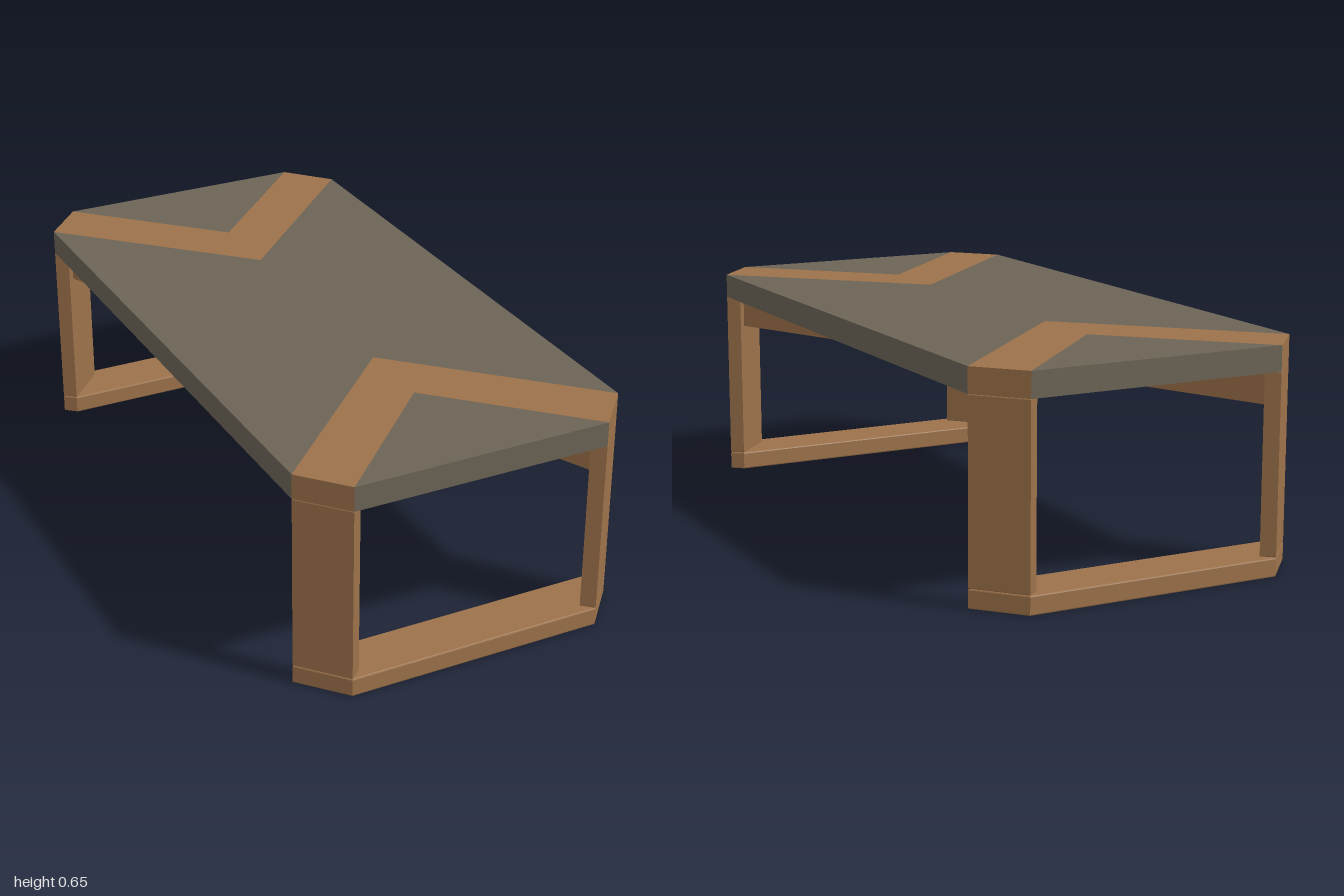
import * as THREE from 'three';

const wood = new THREE.MeshStandardMaterial({ color: 0x9c724a });
wood.name = 'warm wood';
const stone = new THREE.MeshStandardMaterial({ color: 0x6c6456 });
stone.name = 'grey brown top';

// Prism with a plan outline of [x, z] points, between two heights
function prism(name, points, y0, y1, material, bevel = 0) {
  const shape = new THREE.Shape(points.map(([x, z]) => new THREE.Vector2(x, z)));
  const geometry = new THREE.ExtrudeGeometry(shape, {
    depth: y1 - y0 - 2 * bevel,
    bevelEnabled: bevel > 0,
    bevelThickness: bevel,
    bevelSize: bevel,
    bevelOffset: -bevel,
    bevelSegments: 2,
  });
  geometry.rotateX(Math.PI / 2);
  geometry.translate(0, y1 - bevel, 0);
  const mesh = new THREE.Mesh(geometry, material);
  mesh.name = name;
  return mesh;
}

const flip = (points, sx, sz) => points.map(([x, z]) => [x * sx, z * sz]);
// Completes an outline that is symmetric about x = 0
const mirrorX = (half) => [...half, ...flip(half, -1, 1).reverse()];

export function createModel() {
  const table = new THREE.Group();
  table.name = 'table';
  const footTop = 0.055, slabBottom = 0.577, slabTop = 0.65;

  // Plan points of one cut corner: outer edge and inner leg face
  const endPoint = [0.385, 1], sidePoint = [0.5, 0.87];
  const innerEnd = [0.351, 0.97], innerSide = [0.466, 0.84];

  // Main panel, notched at both ends by the V inlays
  table.add(prism('mainPanel', [
    sidePoint, [0, 0.375], [-0.5, 0.87], [-0.5, -0.87], [0, -0.375], [0.5, -0.87],
  ], slabBottom, slabTop, stone));

  for (const s of [1, -1]) {
    const end = s > 0 ? 'front' : 'back';
    // Triangular end panel and the V inlay around it
    table.add(prism(end + 'Panel', flip([endPoint, [0, 0.615], [-0.385, 1]], 1, s),
      slabBottom, slabTop, stone));
    table.add(prism(end + 'Inlay', flip([
      endPoint, sidePoint, [0, 0.375], [-0.5, 0.87], [-0.385, 1], [0, 0.615],
    ], 1, s), slabBottom, slabTop, wood));

    // Foot rail with cut corners
    table.add(prism(end + 'FootRail', flip(mirrorX([endPoint, sidePoint, innerSide]), 1, s),
      0, footTop, wood, 0.004));

    // Plank legs across the cut corners
    for (const side of [1, -1]) {
      table.add(prism(end + (side > 0 ? 'Left' : 'Right') + 'Leg',
        flip([endPoint, sidePoint, innerSide, innerEnd], side, s),
        footTop, slabBottom, wood, 0.003));
    }
  }

  // Crossed braces joining opposite legs under the top
  const frontHalf = [[0.055, 0], [0.448, 0.869], [0.376, 0.951], [0, 0.12],
    [-0.376, 0.951], [-0.448, 0.869], [-0.055, 0]];
  const backHalf = flip(frontHalf.slice(1, -1), 1, -1).reverse();
  table.add(prism('crossBrace', [...frontHalf, ...backHalf], 0.477, slabBottom, wood));

  return table;
}
